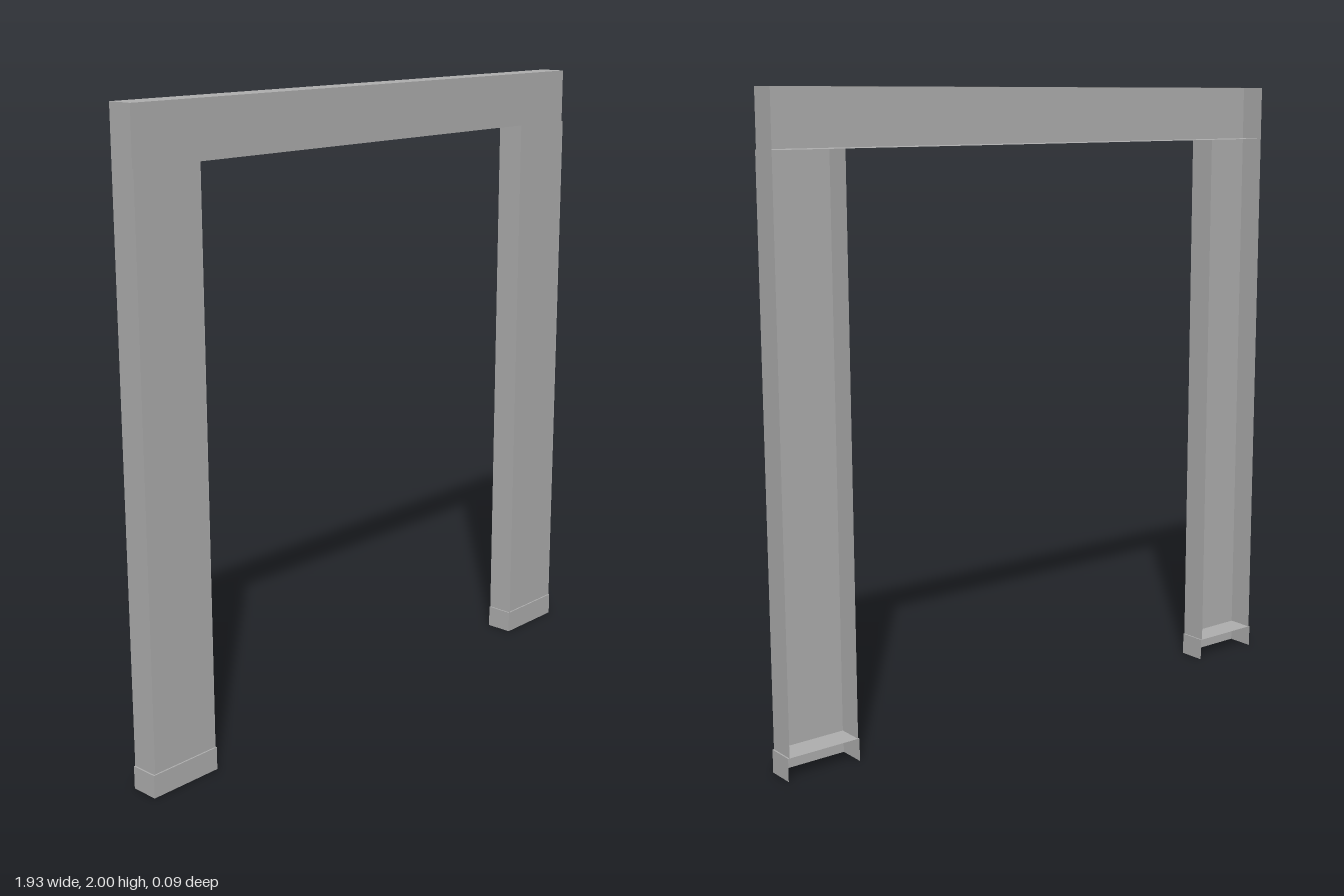
import * as THREE from 'three';

const W = 0.962, INNER = 0.725, TOP = 2, BEAM = 1.828, BASE = 0.072;
const BACK = -0.045, FACE = 0.04, LIP = 0.045;

export function createModel() {
  const group = new THREE.Group();
  group.name = 'doorSurround';
  const grey = new THREE.MeshStandardMaterial({ color: 0xb0b0b0, side: THREE.DoubleSide });
  grey.name = 'grey';

  const add = (parent, name, geometry) => {
    const mesh = new THREE.Mesh(geometry, grey);
    mesh.name = name;
    parent.add(mesh);
  };
  // Single-sheet panels facing along x, y and z
  const wall = (parent, name, x, y0, y1, z0, z1) =>
    add(parent, name, new THREE.PlaneGeometry(z1 - z0, y1 - y0)
      .rotateY(x < 0 ? -Math.PI / 2 : Math.PI / 2).translate(x, (y0 + y1) / 2, (z0 + z1) / 2));
  const shelf = (parent, name, y, x0, x1, z0, z1, down = false) =>
    add(parent, name, new THREE.PlaneGeometry(x1 - x0, z1 - z0)
      .rotateX(down ? Math.PI / 2 : -Math.PI / 2).translate((x0 + x1) / 2, y, (z0 + z1) / 2));
  const front = (parent, name, z, x0, x1, y0, y1) =>
    add(parent, name, new THREE.PlaneGeometry(x1 - x0, y1 - y0)
      .translate((x0 + x1) / 2, (y0 + y1) / 2, z));

  // One continuous front face across both legs and the lintel
  const outline = [[-W, BASE], [-INNER, BASE], [-INNER, BEAM], [INNER, BEAM],
    [INNER, BASE], [W, BASE], [W, TOP], [-W, TOP]];
  add(group, 'frontFace', new THREE.ShapeGeometry(
    new THREE.Shape(outline.map(([x, y]) => new THREE.Vector2(x, y)))).translate(0, 0, FACE));

  // Lintel, open at the back
  const lintel = new THREE.Group();
  lintel.name = 'lintel';
  group.add(lintel);
  shelf(lintel, 'lintelTop', TOP, -W, W, BACK, FACE);
  shelf(lintel, 'lintelUnderside', BEAM, -W, W, BACK, FACE, true);

  for (const s of [1, -1]) {
    const side = s > 0 ? 'left' : 'right';
    wall(lintel, side + 'LintelEnd', s * W, BEAM, TOP, BACK, FACE);

    // Leg side walls stand slightly proud of the front face
    const leg = new THREE.Group();
    leg.name = side + 'Leg';
    group.add(leg);
    wall(leg, 'outerWall', s * W, BASE, BEAM, BACK, LIP);
    wall(leg, 'innerWall', s * INNER, BASE, BEAM, BACK, LIP);

    // Plinth, open at the back and underneath
    const plinth = new THREE.Group();
    plinth.name = side + 'Plinth';
    group.add(plinth);
    const a = INNER - 0.005, b = W + 0.005;
    const x0 = s > 0 ? a : -b, x1 = s > 0 ? b : -a;
    front(plinth, 'plinthFront', LIP, x0, x1, 0, BASE);
    shelf(plinth, 'plinthTop', BASE, x0, x1, BACK, LIP);
    wall(plinth, 'plinthOuterWall', s * b, 0, BASE, BACK, LIP);
    wall(plinth, 'plinthInnerWall', s * a, 0, BASE, BACK, LIP);
  }
  return group;
}
